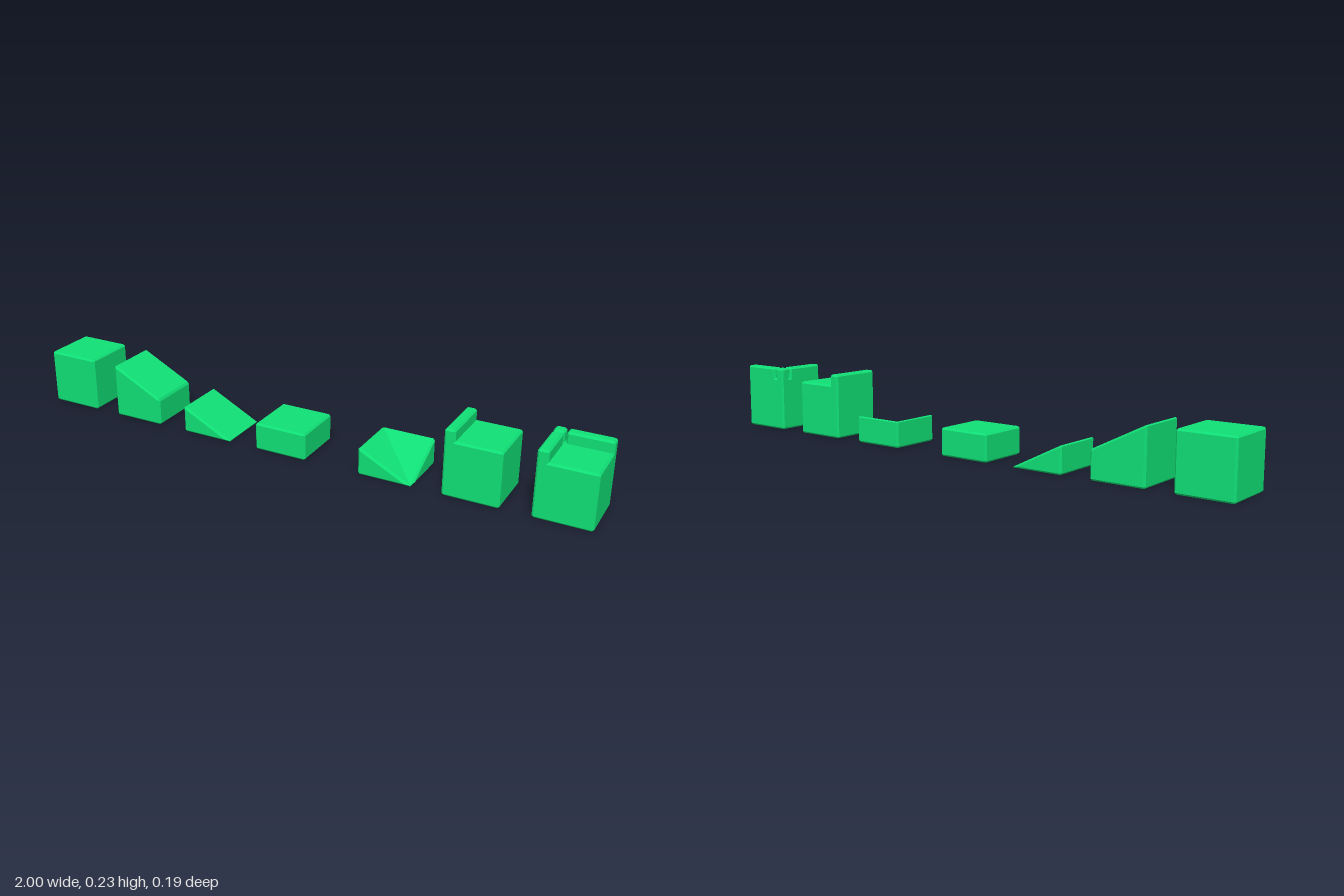
import * as THREE from 'three';
import { ConvexGeometry } from 'three/addons/geometries/ConvexGeometry.js';

const H = 0.094;      // half the tile footprint
const FULL = 0.19;    // full block height
const LOW = 0.095;    // half block height
const TOP = 0.228;    // top of the raised rims
const RIM = 0.036;    // rim width
const C = 0.006;      // chamfer

const material = new THREE.MeshStandardMaterial({ color: 0x10df75, flatShading: true });

// Convex profile in x/y, drawn out from z0 to z1, with every edge chamfered
function prism(name, profile, z0 = -H, z1 = H) {
  const corners = profile.map(([x, y]) => new THREE.Vector2(x, y));
  const points = [];
  corners.forEach((p, i) => {
    const a = corners[(i + 1) % corners.length].clone().sub(p).normalize();
    const b = corners.at(i - 1).clone().sub(p).normalize();
    const inset = C / Math.abs(a.cross(b));
    const cap = p.clone().addScaledVector(a, inset).addScaledVector(b, inset);
    for (const [z, s] of [[z0, 1], [z1, -1]]) {
      points.push(new THREE.Vector3(cap.x, cap.y, z));
      for (const d of [a, b]) {
        points.push(new THREE.Vector3(p.x + d.x * C, p.y + d.y * C, z + s * C));
      }
    }
  });
  const mesh = new THREE.Mesh(new ConvexGeometry(points), material);
  mesh.name = name;
  return mesh;
}

function block(name, x0, x1, y0, y1, z0 = -H, z1 = H) {
  return prism(name, [[x0, y0], [x1, y0], [x1, y1], [x0, y1]], z0, z1);
}

const cube = (name, height) => block(name, -H, H, 0, height);
const lowRamp = (name) => prism(name, [[-H, 0], [H, 0], [-H, LOW]]);

function tile(name, x, ...parts) {
  const group = new THREE.Group();
  group.name = name;
  group.position.x = x;
  group.add(...parts);
  return group;
}

export function createModel() {
  const model = new THREE.Group();
  model.name = 'terrainTiles';

  // Inner corner: two ramps crossing at a right angle, meeting in a valley
  const sideRamp = lowRamp('sideRamp');
  const backRamp = lowRamp('backRamp');
  backRamp.rotation.y = -Math.PI / 2;

  // Rims sink into the block below so their lower edges stay hidden
  const sunk = FULL - 0.04;
  const gap = RIM + C;

  model.add(
    tile('fullBlock', -0.906, cube('block', FULL)),
    tile('highSlope', -0.627,
      prism('slope', [[-H, 0], [H, 0], [H, LOW], [-H, FULL]])),
    tile('lowSlope', -0.337, lowRamp('ramp')),
    tile('halfBlock', -0.05, cube('block', LOW)),
    tile('innerCornerSlope', 0.331, sideRamp, backRamp),
    tile('edgeBlock', 0.618,
      cube('block', FULL),
      block('sideRim', -H, -H + RIM, sunk, TOP)),
    tile('cornerBlock', 0.906,
      cube('block', FULL),
      block('cornerPost', -H, -H + RIM, sunk, TOP, -H, -H + RIM),
      block('sideRim', -H, -H + RIM, sunk, TOP, -H + gap, H),
      block('backRim', -H + gap, H, sunk, TOP, -H, -H + RIM)),
  );
  return model;
}
